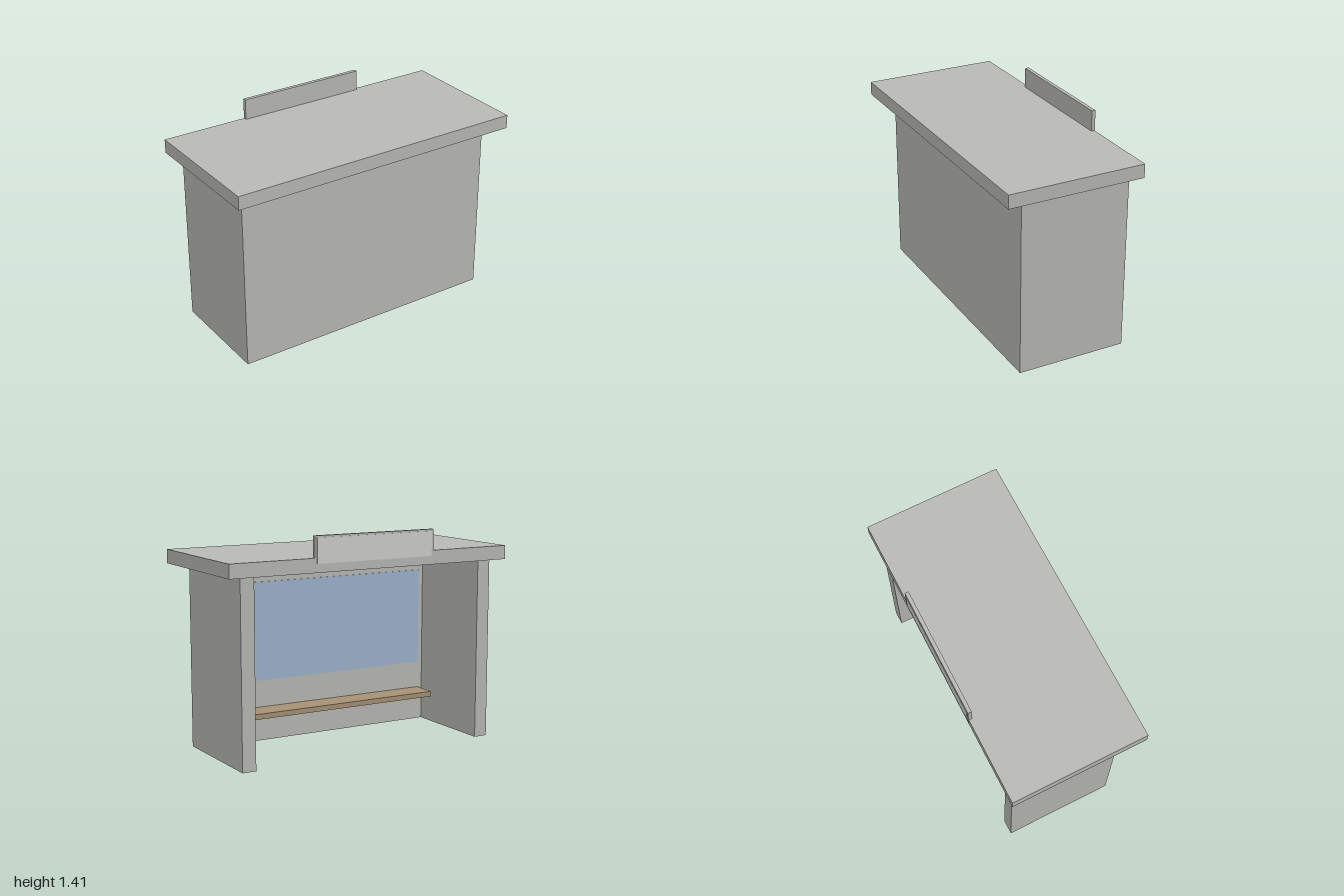
import * as THREE from 'three';

const mat = (name, color) => {
  const m = new THREE.MeshStandardMaterial({ color });
  m.name = name;
  return m;
};

export function createModel() {
  const concrete = mat('concrete', 0xb8b8b4);
  const glass = mat('blueGlass', 0x9eb4cf);
  const wood = mat('wood', 0xa69175);
  const panel = mat('palePanel', 0xcfcfce);

  const shelter = new THREE.Group();
  shelter.name = 'shelter';

  // Box given by its lower and upper limits on each axis
  const box = (name, material, [x0, x1], [y0, y1], [z0, z1]) => {
    const mesh = new THREE.Mesh(new THREE.BoxGeometry(x1 - x0, y1 - y0, z1 - z0), material);
    mesh.position.set((x0 + x1) / 2, (y0 + y1) / 2, (z0 + z1) / 2);
    mesh.name = name;
    shelter.add(mesh);
  };

  // Walls: one long wall and two side walls, open towards -z
  box('longWall', concrete, [-0.815, 0.815], [0, 1.19], [0.235, 0.323]);
  box('leftWall', concrete, [0.815, 0.907], [0, 1.19], [-0.407, 0.323]);
  box('rightWall', concrete, [-0.907, -0.815], [0, 1.19], [-0.407, 0.323]);

  // Overhanging flat roof
  box('roof', concrete, [-1, 1], [1.187, 1.277], [-0.452, 0.457]);

  // Window plate on the inner face of the long wall
  box('window', glass, [-0.78, 0.78], [0.405, 1.055], [0.23, 0.236]);

  // Bench fixed to the long wall
  box('bench', wood, [-0.78, 0.78], [0.19, 0.225], [0.058, 0.235]);

  // Sign board on the open edge of the roof, with a pale plate
  box('signBoard', concrete, [-0.43, 0.43], [1.23, 1.412], [-0.454, -0.429]);
  box('signPlate', panel, [-0.415, 0.415], [1.242, 1.4], [-0.457, -0.453]);

  return shelter;
}
